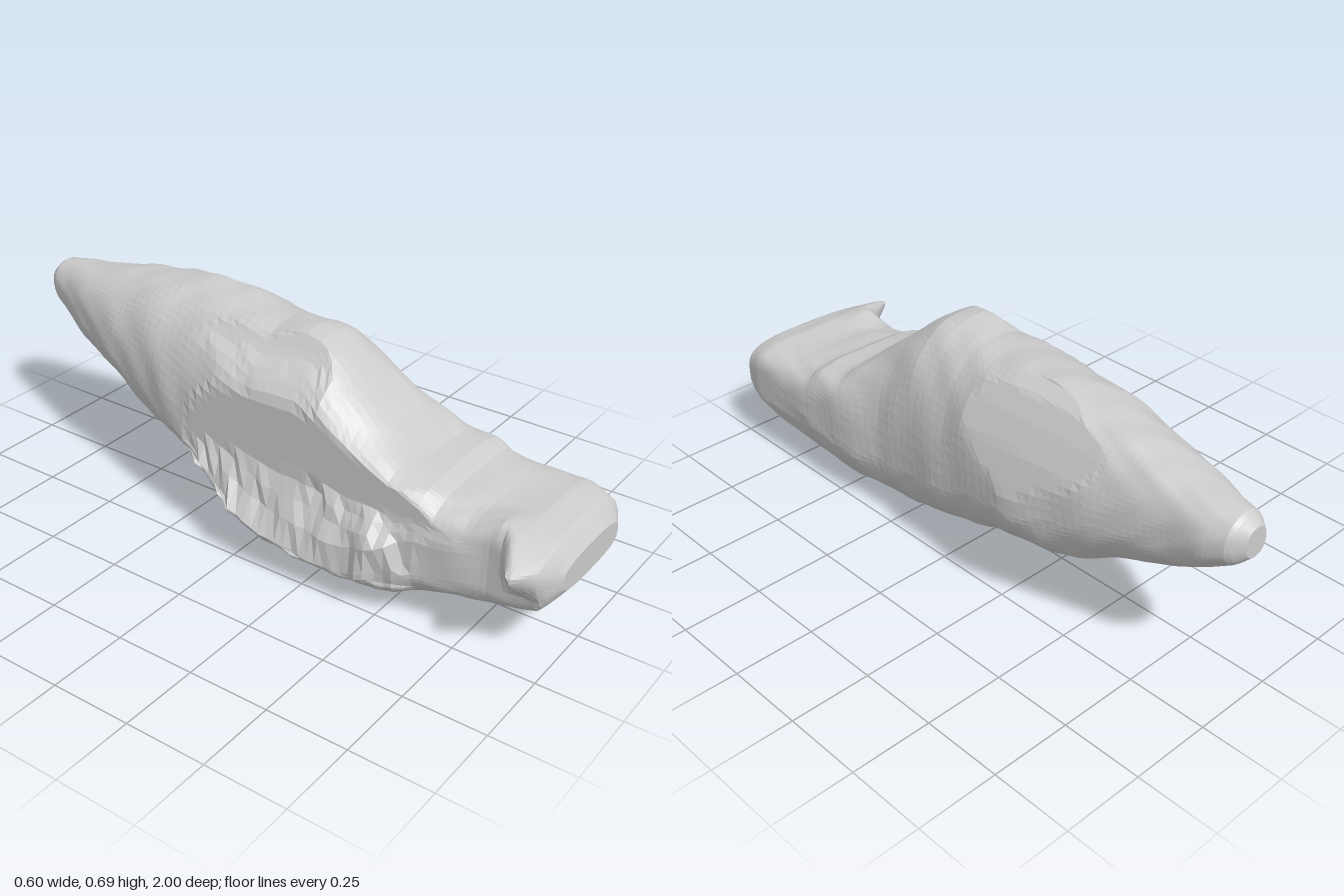
import * as THREE from 'three';

// Profiles along the length: pairs of [z, value]
const PROFILE = {
  top: [[-1, .565], [-.97, .595], [-.9, .605], [-.8, .62], [-.6, .655], [-.4, .69], [-.2, .69], [0, .672], [.12, .69], [.18, .685],
    [.24, .645], [.3, .59], [.36, .54], [.42, .49], [.5, .425], [.6, .405], [.64, .38], [.75, .365], [.88, .365], [.96, .345], [1, .3]],
  bottom: [[-1, .475], [-.97, .445], [-.9, .4], [-.8, .35], [-.6, .265], [-.5, .21], [-.4, .178], [-.2, .148], [-.1, .11], [0, .065],
    [.12, .025], [.27, 0], [.4, .01], [.5, .03], [.7, .085], [.85, .12], [.95, .15], [1, .205]],
  right: [[-1, .065], [-.97, .04], [-.9, .015], [-.8, -.03], [-.6, -.1], [-.4, -.155], [-.2, -.21], [-.1, -.25], [.1, -.285],
    [.3, -.28], [.5, -.265], [.6, -.22], [.8, -.19], [.9, -.2], [.97, -.2], [1, -.14]],
  left: [[-1, .145], [-.97, .185], [-.9, .205], [-.8, .215], [-.6, .25], [-.4, .29], [-.3, .3], [-.1, .28], [.1, .255], [.3, .24],
    [.42, .26], [.5, .27], [.9, .268], [.97, .25], [1, .19]],
  ridge: [[-1, .105], [-.6, .1], [-.3, .1], [0, .03], [.2, 0], [.6, .03], [1, .03]],
  keel: [[-1, .105], [-.6, .1], [-.2, .1], [.2, .06], [.6, .06], [1, .04]],
  // Height of the widest point, as a share of the section height
  waistRight: [[-1, .5], [-.5, .43], [-.1, .21], [.1, .16], [.4, .19], [.6, .4], [.8, .55], [1, .5]],
  waistLeft: [[-1, .5], [-.3, .36], [.2, .3], [.6, .5], [1, .5]],
  // Superellipse exponents: higher is boxier
  upperPower: [[-1, 2.2], [-.5, 2.3], [.15, 2.35], [.35, 2.8], [.6, 4.5], [.9, 4], [1, 2.8]],
  lowerPower: [[-1, 2.2], [-.4, 1.85], [.2, 1.7], [.4, 2.2], [.6, 3.4], [.8, 5.5], [.95, 5], [1, 3]],
};

// Flank limits by height: pairs of [y, x]; the right one has a sheer wall above a low ledge
const RIGHT_FLANK = [[0, .04], [.01, 0], [.035, -.1], [.065, -.2], [.088, -.28], [.16, -.29], [.2, -.24], [.31, -.2],
  [.53, -.2], [.56, -.18], [.6, -.135], [.61, -.11], [.64, -.08], [.69, -.04]];
const LEFT_FLANK = [[0, .1], [.02, .17], [.06, .205], [.13, .247], [.2, .272], [.3, .3], [.4, .3], [.52, .255], [.6, .21], [.66, .17], [.69, .12]];

function sample(points, t) {
  let i = 0;
  while (i < points.length - 2 && t > points[i + 1][0]) i++;
  const [t0, v0] = points[i], [t1, v1] = points[i + 1];
  return v0 + (v1 - v0) * THREE.MathUtils.clamp((t - t0) / (t1 - t0), 0, 1);
}

// Seeded value for the ragged edge
function hash(a, b) {
  const s = Math.sin(a * 127.1 + b * 311.7) * 43758.5453;
  return s - Math.floor(s);
}

// Peak of 1 at the centre, falling to 0 at the given distance
const peak = (value, centre, width) => Math.max(0, 1 - Math.abs(value - centre) / width);

// One surface point of the boulder at length z and angle a
function surfacePoint(z, a) {
  const p = {};
  for (const key in PROFILE) p[key] = sample(PROFILE[key], z);
  const c = Math.cos(a), s = Math.sin(a);
  const power = s > 0 ? p.upperPower : p.lowerPower;
  const u = Math.pow(Math.abs(c), 2 / power), v = Math.pow(Math.abs(s), 2 / power);
  const waist = THREE.MathUtils.lerp(p.bottom, p.top, c > 0 ? p.waistLeft : p.waistRight);
  const middle = s > 0 ? p.ridge : p.keel;
  let x = middle + ((c > 0 ? p.left : p.right) - middle) * u;
  let y = waist + ((s > 0 ? p.top : p.bottom) - waist) * v;

  // Weathered lumps, fading towards the ends
  const lump = (1 - z ** 4) * (.004 * Math.sin(z * 19 + 1) * Math.sin(a * 4 + 2)
    + .003 * Math.sin(z * 37 + 2 * Math.sin(a * 3)) * Math.cos(a * 7 + z * 5)) - .001;
  x += lump * c;
  y += lump * s;
  x = THREE.MathUtils.clamp(x, sample(RIGHT_FLANK, y), sample(LEFT_FLANK, y));

  // Ragged ledge along the lower right flank, rising into a rim at its front end
  if (x < -.2 && z > -.2 && z < .58 && y < .3) {
    x -= .05 * peak(z, .46, .1) * peak(y, .23, .08);
    x += (hash(Math.round(z * 22), Math.round(y * 14)) - .5) * .024;
  }
  // Pointed spur and raised lip on the front right edge
  const edge = THREE.MathUtils.clamp((-.05 - x) / .12, 0, 1);
  x -= .125 * edge * peak(z, .92, .075) * peak(y, .32, .11);
  if (s > 0) y += .04 * edge * peak(z, .83, .1) * v;

  return [Math.max(-.3, x), Math.max(0, y), z];
}

function boulderGeometry(rings, sides) {
  const position = [], index = [];
  for (let i = 0; i <= rings; i++) {
    const t = -1 + 2 * i / rings;
    const z = .5 * t + .5 * Math.sin(t * Math.PI / 2);
    for (let j = 0; j < sides; j++) position.push(...surfacePoint(z, j / sides * Math.PI * 2));
  }
  for (let i = 0; i < rings; i++) {
    for (let j = 0; j < sides; j++) {
      const k = (j + 1) % sides;
      const a = i * sides + j, b = i * sides + k, c = b + sides, d = a + sides;
      index.push(a, b, c, a, c, d);
    }
  }
  // Close both ends
  const tail = (rings + 1) * sides, nose = tail + 1, last = rings * sides;
  position.push(.105, .52, -1, .03, .25, 1);
  for (let j = 0; j < sides; j++) {
    const k = (j + 1) % sides;
    index.push(tail, k, j, nose, last + j, last + k);
  }
  const geometry = new THREE.BufferGeometry();
  geometry.setAttribute('position', new THREE.Float32BufferAttribute(position, 3));
  geometry.setIndex(index);
  geometry.computeVertexNormals();
  return geometry;
}

export function createModel() {
  const group = new THREE.Group();
  group.name = 'rock';
  const material = new THREE.MeshStandardMaterial({ color: 0xcccccc, flatShading: true });
  const boulder = new THREE.Mesh(boulderGeometry(90, 72), material);
  boulder.name = 'boulder';
  group.add(boulder);
  return group;
}
